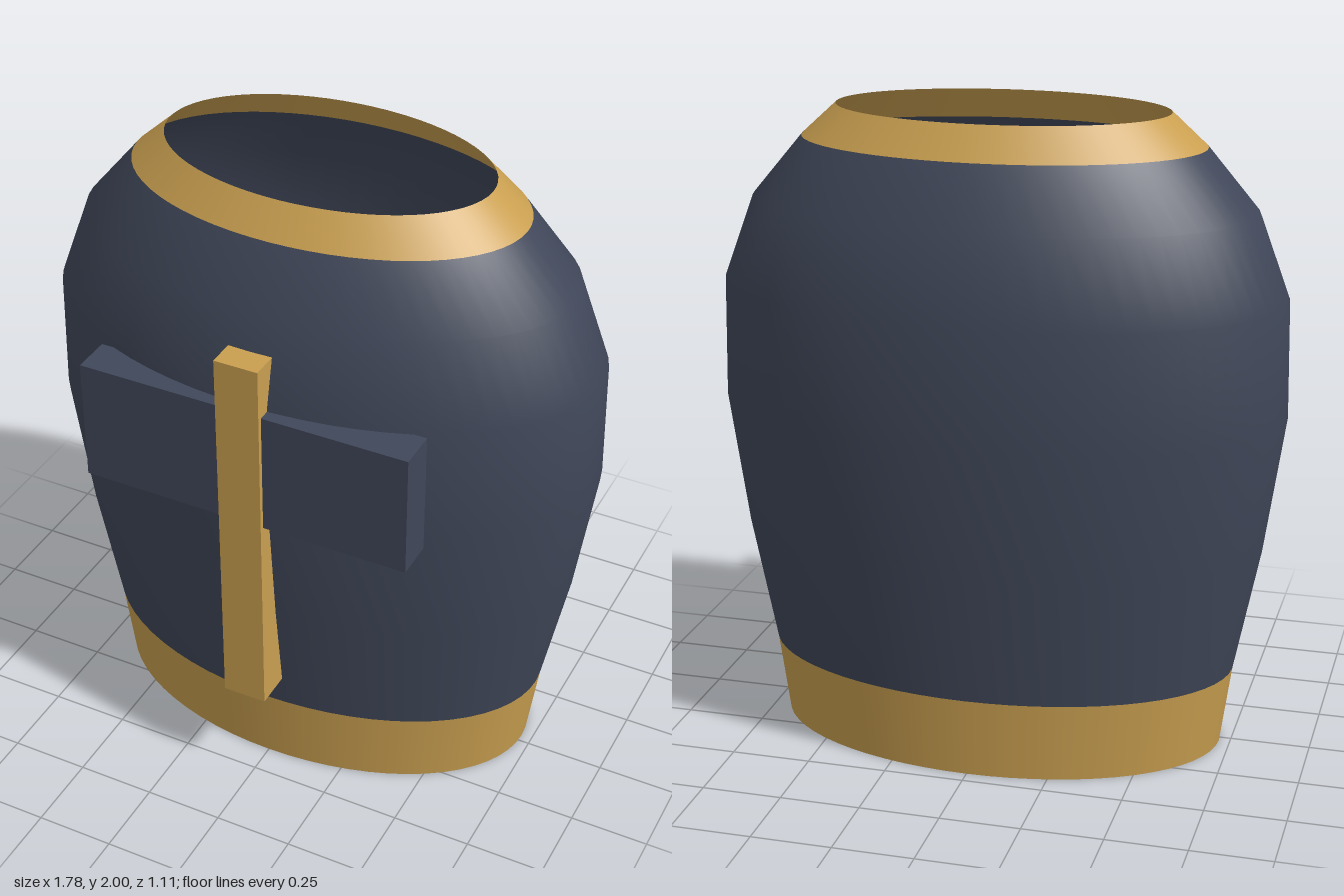
import * as THREE from 'three';

const navy = new THREE.MeshStandardMaterial({ color: 0x404759, side: THREE.DoubleSide });
navy.name = 'navy cloth';
const gold = new THREE.MeshStandardMaterial({ color: 0xc99f50, side: THREE.DoubleSide });
gold.name = 'gold trim';

const CENTRE_Z = -0.025; // the shell sits slightly behind the middle
const DEPTH = 0.6; // oval cross-section: depth / width

export function createModel() {
  const model = new THREE.Group();
  model.name = 'tunic';

  // Open oval band turned from [half width, height] points
  function ovalBand(name, points, material) {
    const geometry = new THREE.LatheGeometry(points.map(([r, y]) => new THREE.Vector2(r, y)), 64);
    const mesh = new THREE.Mesh(geometry, material);
    mesh.name = name;
    mesh.scale.z = DEPTH;
    mesh.position.z = CENTRE_Z;
    model.add(mesh);
  }

  // Box given by half width, height range and depth range
  function slab(name, halfWidth, y0, y1, z0, z1, material) {
    const mesh = new THREE.Mesh(new THREE.BoxGeometry(halfWidth * 2, y1 - y0, z1 - z0), material);
    mesh.name = name;
    mesh.position.set(0, (y0 + y1) / 2, (z0 + z1) / 2);
    model.add(mesh);
  }

  // Shell: hem, body and collar, open at both ends
  ovalBand('hem', [[0.715, 0], [0.75, 0.255]], gold);
  ovalBand('body', [
    [0.75, 0.255], [0.83, 0.66], [0.89, 1.08], [0.882, 1.45], [0.785, 1.71], [0.625, 1.9],
  ], navy);
  ovalBand('collar', [[0.625, 1.9], [0.515, 2]], gold);

  // Chest details
  slab('chestPanel', 0.53, 1.045, 1.44, 0.415, 0.54, navy);
  slab('frontPlacket', 0.07, 0.365, 1.605, 0.42, 0.555, gold);

  return model;
}
